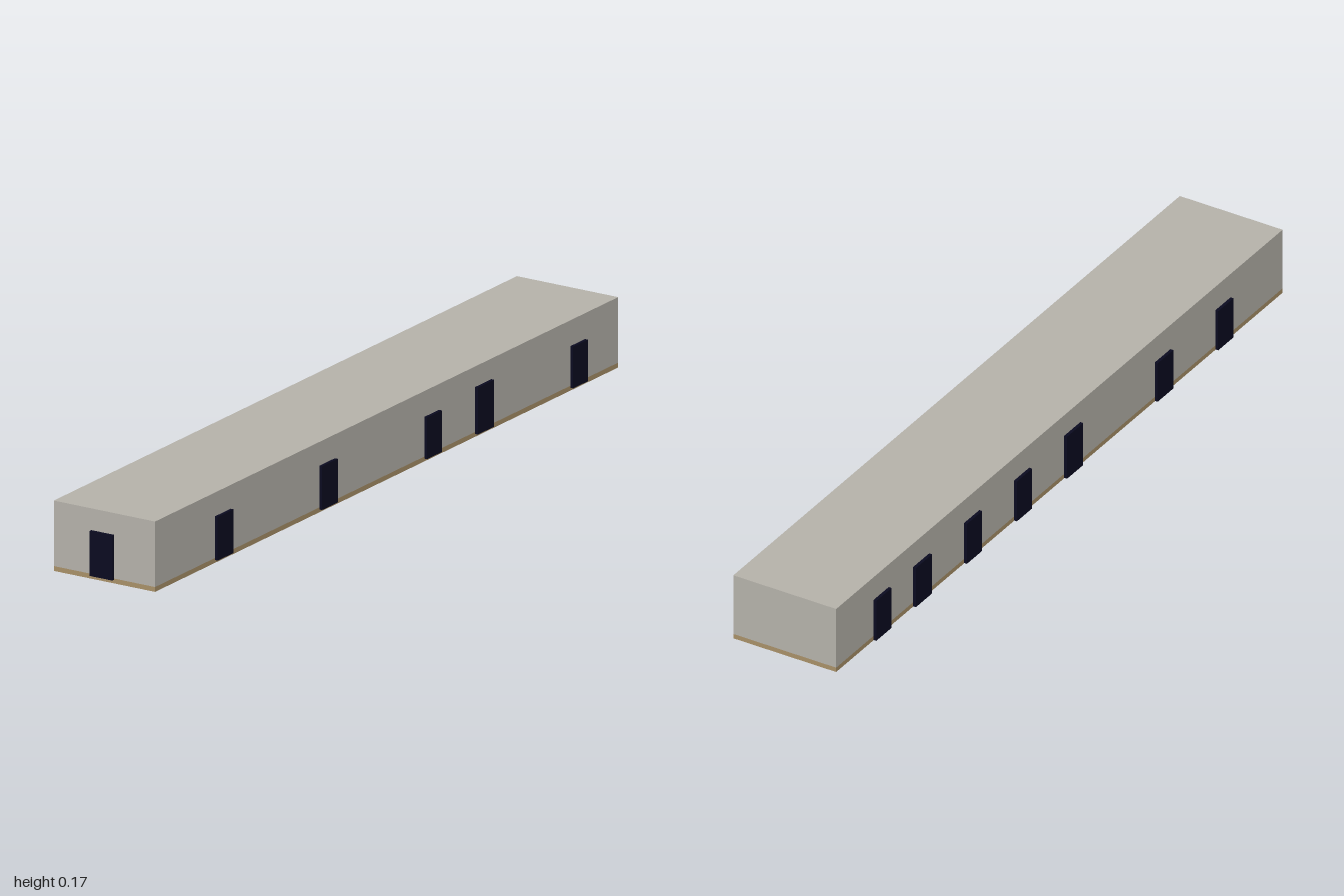
import * as THREE from 'three';

const material = (name, color) => {
  const m = new THREE.MeshStandardMaterial({ color });
  m.name = name;
  return m;
};

export function createModel() {
  const wall = material('warm grey wall', 0xb5b2aa);
  const timber = material('tan floor', 0xa89068);
  const dark = material('dark navy door', 0x0a0a20);

  const group = new THREE.Group();
  group.name = 'longBuilding';

  // Box given by its minimum and maximum corners
  function box(name, mat, [x0, y0, z0], [x1, y1, z1]) {
    const mesh = new THREE.Mesh(new THREE.BoxGeometry(x1 - x0, y1 - y0, z1 - z0), mat);
    mesh.position.set((x0 + x1) / 2, (y0 + y1) / 2, (z0 + z1) / 2);
    mesh.name = name;
    group.add(mesh);
  }

  // Floor slab and closed hall above it
  const floorTop = 0.012;
  box('floor', timber, [-0.143, 0, -1], [0.141, floorTop, 0.985]);
  box('hall', wall, [-0.143, floorTop, -1], [0.141, 0.174, 0.985]);

  // Front door plate, standing just clear of the wall
  box('frontDoor', dark, [-0.033, floorTop, 0.992], [0.031, 0.123, 1]);

  // Side door plates: [centre z, width, top y]
  const leftDoors = [
    [0.707, 0.068, 0.12], [0.26, 0.067, 0.12], [-0.188, 0.063, 0.115],
    [-0.409, 0.07, 0.128], [-0.814, 0.063, 0.115],
  ];
  const rightDoors = [
    [0.705, 0.068, 0.12], [0.437, 0.07, 0.118], [0.035, 0.072, 0.128], [-0.19, 0.068, 0.122],
    [-0.412, 0.068, 0.122], [-0.637, 0.072, 0.12], [-0.815, 0.068, 0.122],
  ];
  const addDoors = (name, doors, x0, x1) => doors.forEach(([z, w, top], i) =>
    box(name + (i + 1), dark, [x0, floorTop, z - w / 2], [x1, top, z + w / 2]));
  addDoors('leftDoor', leftDoors, 0.149, 0.157);
  addDoors('rightDoor', rightDoors, -0.16, -0.152);

  return group;
}
